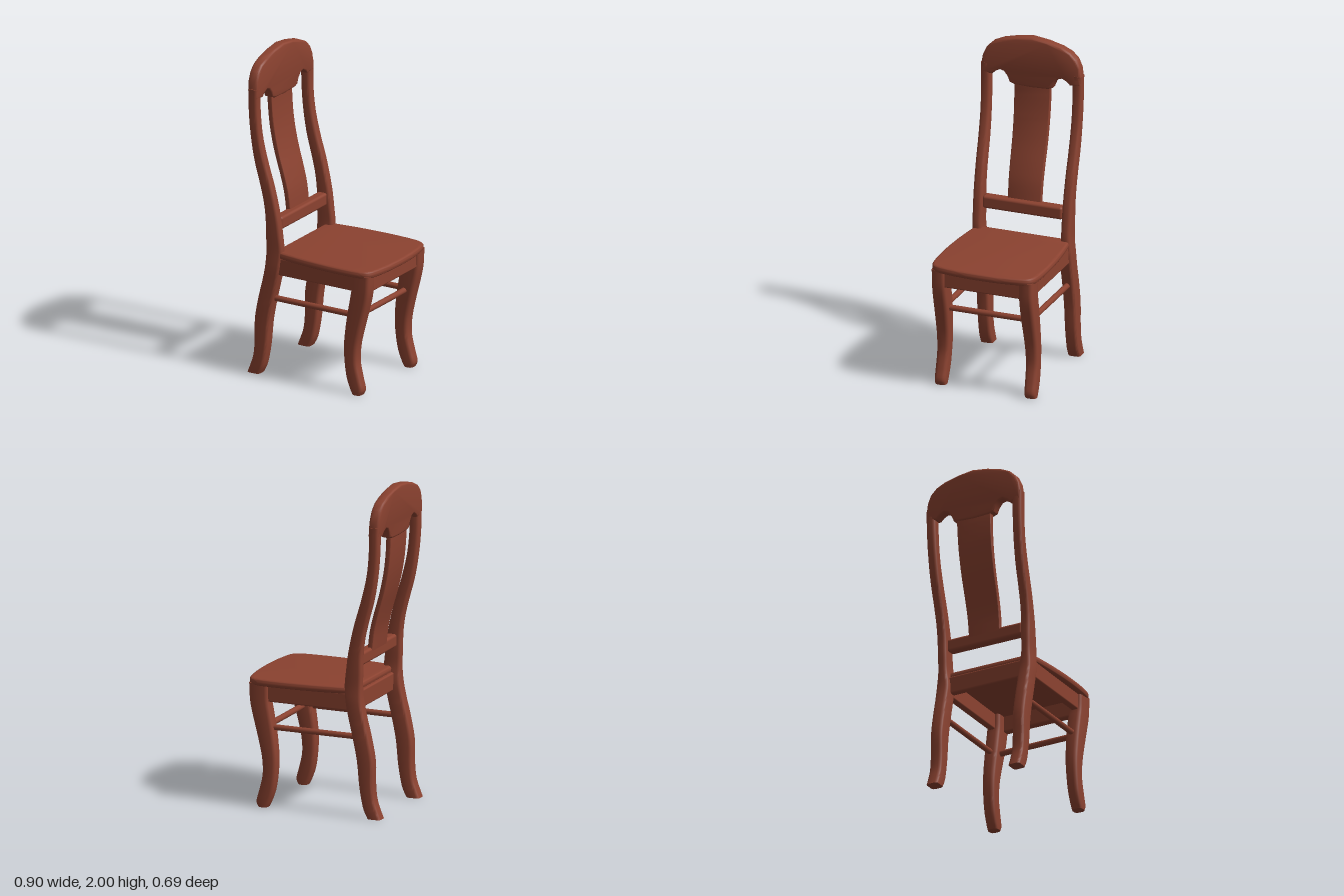
import * as THREE from 'three';
import { toCreasedNormals } from 'three/addons/utils/BufferGeometryUtils.js';
import { RoundedBoxGeometry } from 'three/addons/geometries/RoundedBoxGeometry.js';

// Sweeps a rounded rectangle up through sections [y, xMin, xMax, zMin, zMax].
function loft(sections, radius, steps = 40) {
  const n = 16, pos = [], idx = [];
  const xs = new THREE.CatmullRomCurve3(sections.map(s => new THREE.Vector3(s[1], s[0], s[2])));
  const zs = new THREE.CatmullRomCurve3(sections.map(s => new THREE.Vector3(s[3], s[0], s[4])));
  for (let i = 0; i <= steps; i++) {
    const a = xs.getPoint(i / steps), b = zs.getPoint(i / steps);
    for (let j = 0; j < n; j++) {
      const corner = Math.floor(j / 4), t = (corner + (j % 4) / 3) * Math.PI / 2;
      const right = corner === 0 || corner === 3, front = corner < 2;
      pos.push(
        (right ? a.z - radius : a.x + radius) + radius * Math.cos(t), a.y,
        (front ? b.z - radius : b.x + radius) + radius * Math.sin(t));
    }
  }
  for (let i = 0; i < steps; i++) for (let j = 0; j < n; j++) {
    const a = i * n + j, b = i * n + (j + 1) % n;
    idx.push(a, a + n, b, b, a + n, b + n);
  }
  const top = steps * n;
  for (let j = 1; j < n - 1; j++) idx.push(0, j, j + 1, top, top + j + 1, top + j);
  const g = new THREE.BufferGeometry();
  g.setAttribute('position', new THREE.Float32BufferAttribute(pos, 3));
  g.setIndex(idx);
  return toCreasedNormals(g, 0.7);
}

// Side profile of the back posts: y, rear x, front x
const POST = [
  [0, -0.45, -0.365], [0.05, -0.43, -0.34], [0.11, -0.41, -0.325], [0.2, -0.4, -0.31],
  [0.35, -0.398, -0.295], [0.5, -0.37, -0.265], [0.6, -0.345, -0.242], [0.7, -0.325, -0.222],
  [0.8, -0.32, -0.212], [0.9, -0.323, -0.222], [1, -0.325, -0.235], [1.1, -0.337, -0.255],
  [1.2, -0.36, -0.28], [1.35, -0.4, -0.325], [1.5, -0.425, -0.36], [1.65, -0.438, -0.375],
  [1.8, -0.441, -0.376]];

// Side profile of the curved front legs: y, rear x, front x
const LEG = [
  [0, 0.29, 0.35], [0.03, 0.275, 0.362], [0.1, 0.25, 0.345], [0.2, 0.235, 0.322],
  [0.3, 0.231, 0.325], [0.4, 0.24, 0.345], [0.5, 0.255, 0.37], [0.6, 0.273, 0.395],
  [0.66, 0.283, 0.405], [0.76, 0.285, 0.41]];

export function createModel() {
  const chair = new THREE.Group();
  chair.name = 'chair';
  const wood = new THREE.MeshStandardMaterial({ color: 0x8b4230 });
  wood.name = 'reddish wood';
  const add = (name, geometry, x = 0, y = 0, z = 0) => {
    const m = new THREE.Mesh(geometry, wood);
    m.name = name;
    m.position.set(x, y, z);
    chair.add(m);
    return m;
  };
  const box = (name, x0, x1, y0, y1, z0, z1, r = 0.01) => add(name,
    new RoundedBoxGeometry(x1 - x0, y1 - y0, z1 - z0, 3, r),
    (x0 + x1) / 2, (y0 + y1) / 2, (z0 + z1) / 2);
  const rod = (name, from, to, r) => add(name,
    new THREE.TubeGeometry(new THREE.LineCurve3(new THREE.Vector3(...from), new THREE.Vector3(...to)), 1, r, 12));

  // Posts, legs, side rails and side stretchers, mirrored
  for (const s of [1, -1]) {
    const side = s > 0 ? 'Right' : 'Left';
    const place = (sections, inner, outer) => sections.map(([y, a, b]) => {
      const i = inner(y), o = outer(y);
      return s > 0 ? [y, a, b, i, o] : [y, a, b, -o, -i];
    });
    add('backPost' + side, loft(place(POST,
      y => (y < 0.75 ? 0.243 : 0.256 + 0.01 * (y - 0.8)),
      y => (y < 0.75 ? 0.32 : 0.314 + 0.012 * (y - 0.8))), 0.018, 60));
    add('frontLeg' + side, loft(place(LEG, y => 0.255 - 0.018 * Math.min(1, y / 0.5), () => 0.324), 0.022));
    box('sideRail' + side, -0.26, 0.33, 0.65, 0.76, s * 0.285 - 0.022, s * 0.285 + 0.022);
    rod('sideStretcher' + side, [-0.32, 0.492, s * 0.28], [0.31, 0.492, s * 0.28], 0.018);
  }

  // Front and back rails, front stretcher
  box('frontRail', 0.345, 0.395, 0.65, 0.76, -0.27, 0.27);
  box('backRail', -0.285, -0.24, 0.65, 0.76, -0.27, 0.27);
  rod('frontStretcher', [0.31, 0.492, -0.28], [0.31, 0.492, 0.28], 0.018);

  // Seat with a bowed front and rounded rim
  const seat = new THREE.Shape();
  seat.moveTo(-0.265, -0.3);
  seat.lineTo(-0.2, -0.312);
  seat.bezierCurveTo(-0.03, -0.337, 0.15, -0.347, 0.3, -0.338);
  seat.bezierCurveTo(0.4, -0.33, 0.41, -0.315, 0.425, -0.24);
  seat.bezierCurveTo(0.45, -0.1, 0.45, 0.1, 0.425, 0.24);
  seat.bezierCurveTo(0.41, 0.315, 0.4, 0.33, 0.3, 0.338);
  seat.bezierCurveTo(0.15, 0.347, -0.03, 0.337, -0.2, 0.312);
  seat.lineTo(-0.265, 0.3);
  seat.closePath();
  const seatGeo = new THREE.ExtrudeGeometry(seat, {
    depth: 0.012, bevelThickness: 0.016, bevelSize: 0.016, bevelOffset: -0.014,
    bevelSegments: 4, curveSegments: 12 });
  seatGeo.rotateX(-Math.PI / 2);
  add('seat', toCreasedNormals(seatGeo, 0.7), 0, 0.767, 0).rotation.z = -0.008;

  // Lower back rail and curved splat
  box('lowerBackRail', -0.305, -0.24, 0.92, 1, -0.257, 0.257, 0.016);
  const splat = POST.filter(p => p[0] >= 1).map(([y, a, b]) => {
    const c = (a + b) / 2 - 0.008, w = 0.106 + 0.014 * (y - 1);
    return [y, c - 0.016, c + 0.016, -w, w];
  });
  splat[0][0] = 0.97;
  add('splat', loft(splat, 0.005, 24));

  // Arched crest with scalloped lower edge
  const half = [[0.322, 1.74], [0.322, 1.79], [0.313, 1.85], [0.29, 1.9], [0.25, 1.938],
    [0.19, 1.965], [0.1, 1.987], [0, 2]];
  const scallop = [[0, 1.685], [0.11, 1.69], [0.138, 1.7], [0.152, 1.735], [0.175, 1.763],
    [0.2, 1.77], [0.23, 1.755], [0.25, 1.735], [0.264, 1.735]];
  const mirror = pts => pts.slice(0, -1).reverse().map(([z, y]) => [-z, y]);
  const outline = [...half, ...mirror(half),
    ...scallop.slice(1).reverse().map(([z, y]) => [-z, y]), ...scallop];
  const crest = new THREE.ExtrudeGeometry(
    new THREE.Shape(outline.map(([z, y]) => new THREE.Vector2(z, y))), {
      depth: 0.035, bevelThickness: 0.015, bevelSize: 0.012, bevelOffset: -0.012, bevelSegments: 3 });
  crest.rotateY(-Math.PI / 2);
  // Lean the crest slightly backward
  const p = crest.attributes.position;
  for (let i = 0; i < p.count; i++) p.setX(i, p.getX(i) - 0.04 * Math.max(0, p.getY(i) - 1.75));
  add('crest', toCreasedNormals(crest, 0.7), -0.39, 0, 0);

  return chair;
}
